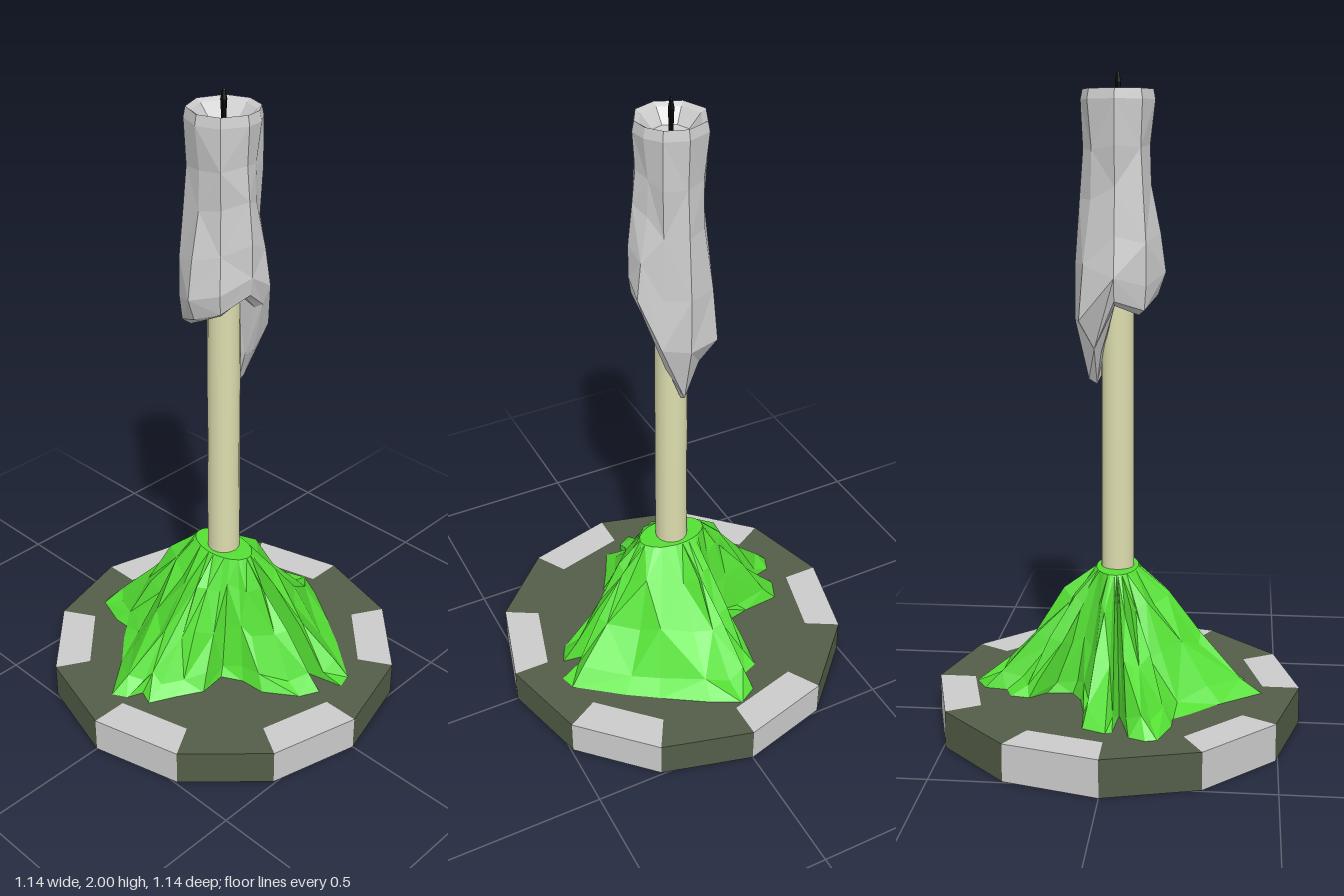
import * as THREE from 'three';

const wrap = (color, extra = {}) => new THREE.MeshStandardMaterial({ color, ...extra });

function addMesh(group, name, geometry, material) {
  const mesh = new THREE.Mesh(geometry, material);
  mesh.name = name;
  group.add(mesh);
  return mesh;
}

// Skins closed rings of [x, y, z], ordered from the top centre outward and down
function loft(rings) {
  const n = rings[0].length, index = [];
  for (let r = 0; r < rings.length - 1; r++) {
    for (let j = 0; j < n; j++) {
      const k = (j + 1) % n;
      const a = r * n + j, b = r * n + k, c = a + n, d = b + n;
      if ((r + j) % 2) index.push(a, b, d, a, d, c);
      else index.push(a, b, c, b, d, c);
    }
  }
  const g = new THREE.BufferGeometry();
  g.setAttribute('position', new THREE.Float32BufferAttribute(rings.flat(2), 3));
  g.setIndex(index);
  const flat = g.toNonIndexed();
  flat.computeVertexNormals();
  return flat;
}

// Flat plate lying on y = 0 from [x, z] corners
function plate(points, height) {
  const shape = new THREE.Shape(points.map(([x, z]) => new THREE.Vector2(x, z)));
  const g = new THREE.ExtrudeGeometry(shape, { depth: height, bevelEnabled: false });
  return g.rotateX(Math.PI / 2).translate(0, height, 0);
}

// Twelve-sided base disc with six pale inserts around the edge
function buildBase() {
  const base = new THREE.Group();
  base.name = 'base';
  const R = 0.57, H = 0.115;
  const corner = (i, s) => {
    const a = (i * Math.PI) / 6;
    return [Math.cos(a) * R * s, Math.sin(a) * R * s];
  };
  const body = [];
  for (let i = 0; i < 12; i += 2) {
    body.push(corner(i, 1), corner(i + 1, 1), corner(i + 1, 0.8), corner(i + 2, 0.8));
    addMesh(base, 'edgeInsert', plate(
      [corner(i + 1, 0.8), corner(i + 1, 1), corner(i + 2, 1), corner(i + 2, 0.8)], H),
    wrap(0xcccccc, { flatShading: true }));
  }
  addMesh(base, 'baseDisc', plate(body, H), wrap(0x535d48, { flatShading: true }));
  return base;
}

// Lobed mound: one footprint drawn in toward a small top ring
function buildMound() {
  const footprint = [
    [0.445, -0.03], [0.40, 0.06], [0.31, 0.2], [0.25, 0.29], [0.14, 0.43], [0.09, 0.445],
    [0.042, 0.24], [0.02, 0.41], [-0.04, 0.38], [-0.11, 0.28], [-0.115, 0.2], [-0.15, 0.135],
    [-0.24, 0.145], [-0.32, 0.10], [-0.40, 0.06], [-0.38, 0.01], [-0.43, -0.01], [-0.455, -0.055],
    [-0.33, -0.15], [-0.24, -0.24], [-0.19, -0.28], [-0.19, -0.33], [-0.155, -0.43], [-0.12, -0.44],
    [-0.07, -0.42], [-0.05, -0.34], [-0.03, -0.27], [-0.02, -0.39], [0, -0.40], [0.07, -0.37],
    [0.08, -0.25], [0.10, -0.16], [0.13, -0.11], [0.21, -0.115], [0.26, -0.16], [0.32, -0.15],
    [0.34, -0.10], [0.41, -0.09],
  ];
  const steps = [[0, 0.5], [0.24, 0.41], [0.52, 0.28], [0.82, 0.155], [1, 0.113]];
  const rings = steps.map(([t, y], r) => footprint.map(([x, z], j) => {
    const a = Math.atan2(z, x);
    const tx = Math.cos(a) * 0.065, tz = Math.sin(a) * 0.11;
    const inner = r > 0 && r < 4;
    const lump = inner ? 0.02 * Math.sin(j * 2.3 + r * 1.7) : 0;
    const s = t + lump * 1.5;
    return [tx + (x - tx) * s, y + lump * 0.8, tz + (z - tz) * s];
  }));
  rings.unshift(footprint.map(() => [0, 0.5, 0]));
  return loft(rings);
}

// Melted wax sleeve with a dished top and uneven drips
function buildWax() {
  // angle in degrees, height of the lower edge
  const columns = [[0, 1.07], [38, 1.18], [68, 1.36], [97, 1.41], [140, 1.36],
    [180, 1.33], [225, 1.29], [270, 1.32], [318, 1.17]];
  const ring = (radius, height) => columns.map(([deg, low], j) => {
    const a = THREE.MathUtils.degToRad(deg);
    const r = radius(j, a);
    return [Math.cos(a) * r, height(j, low), Math.sin(a) * r];
  });
  const rings = [[0.002, 1.885], [0.055, 1.895], [0.09, 1.935], [0.105, 1.945], [0.111, 1.915]]
    .map(([r, y]) => ring(() => r, () => y));
  // body rings: fraction of the way down, radius
  const body = [[0.22, 0.104], [0.42, 0.106], [0.66, 0.124], [0.86, 0.136]];
  body.forEach(([t, r], i) => rings.push(ring(
    (j) => r + 0.009 * Math.sin(j * 2.1 + i * 1.3),
    (j, low) => 1.915 + (Math.max(low, 1.915 - 0.62 * (1 + t * 0.25)) - 1.915) * t,
  )));
  const tip = (j) => (columns[j][1] < 1.2 ? 0.088 : 0.122);
  rings.push(ring(tip, (j, low) => low + 0.015));
  rings.push(ring((j) => tip(j) - 0.025, (j, low) => low));
  rings.push(ring(() => 0.045, (j, low) => low + 0.035));
  return loft(rings);
}

export function createModel() {
  const model = new THREE.Group();
  model.name = 'candleOnStand';

  model.add(buildBase());

  addMesh(model, 'slimeMound', buildMound(),
    wrap(0x55e034, { flatShading: true, side: THREE.DoubleSide }));

  // Candle shaft
  const shaft = new THREE.CylinderGeometry(0.049, 0.052, 1.4, 16).translate(0, 0.82, 0);
  addMesh(model, 'candleShaft', shaft, wrap(0xdcdcae));

  addMesh(model, 'meltedWax', buildWax(),
    wrap(0xcccccc, { flatShading: true, side: THREE.DoubleSide }));

  // Wick, swollen slightly in the middle
  const wick = new THREE.LatheGeometry(
    [[0, 1.87], [0.007, 1.87], [0.008, 1.93], [0.01, 1.965], [0.005, 1.99], [0, 2]]
      .map(([r, y]) => new THREE.Vector2(r, y)), 6);
  addMesh(model, 'wick', wick, wrap(0x080808, { flatShading: true }));

  return model;
}
